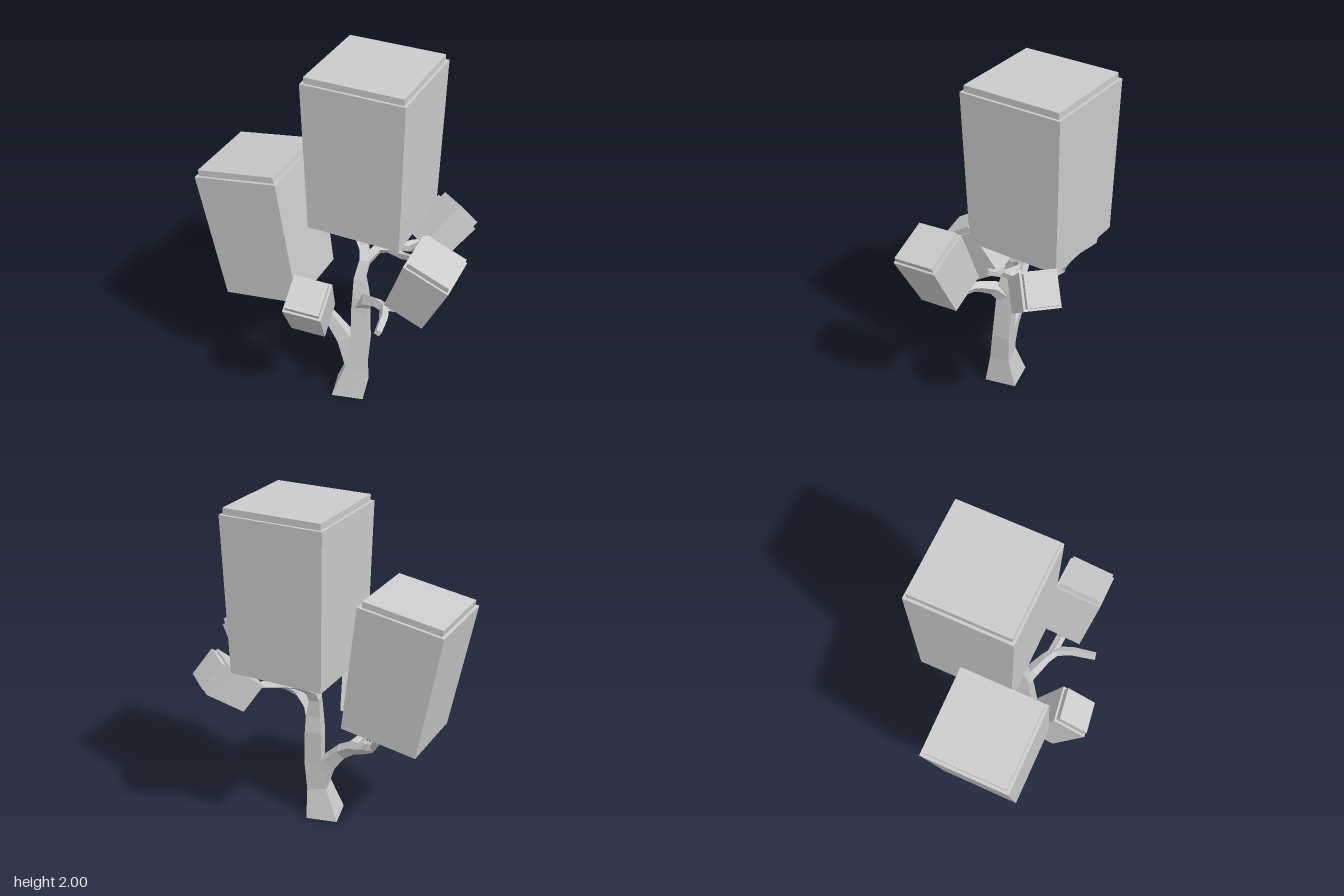
import * as THREE from 'three';

const V = (p) => new THREE.Vector3(p[0], p[1], p[2]);
const material = new THREE.MeshStandardMaterial({ color: 0xcccccc, flatShading: true });

// Four-sided limb lofted along points [x, y, z, halfWidth]
function limb(name, points) {
  const pts = points.map(V), n = pts.length;
  let u = new THREE.Vector3(0.97, 0, -0.24);
  const rings = pts.map((p, i) => {
    const t = pts[Math.min(i + 1, n - 1)].clone().sub(pts[Math.max(i - 1, 0)]).normalize();
    if (p.y === 0) t.set(0, 1, 0); // level foot
    u = u.clone().addScaledVector(t, -u.dot(t));
    if (u.length() < 0.1) u.set(0, 0, 1).addScaledVector(t, -t.z);
    u.normalize();
    const v = t.clone().cross(u), r = points[i][3];
    return [[1, 1], [-1, 1], [-1, -1], [1, -1]].map(([a, b]) =>
      p.clone().addScaledVector(u, a * r).addScaledVector(v, b * r));
  });
  const out = [];
  const quad = (a, b, c, d) => [a, b, c, a, c, d].forEach((q) => out.push(q.x, q.y, q.z));
  for (let i = 0; i < n - 1; i++) {
    for (let k = 0; k < 4; k++) {
      const m = (k + 1) % 4;
      quad(rings[i][k], rings[i][m], rings[i + 1][m], rings[i + 1][k]);
    }
  }
  quad(...rings[n - 1]);
  quad(...rings[0].slice().reverse());
  const geo = new THREE.BufferGeometry();
  geo.setAttribute('position', new THREE.Float32BufferAttribute(out, 3));
  geo.computeVertexNormals();
  const mesh = new THREE.Mesh(geo, material);
  mesh.name = name;
  return mesh;
}

// Tapered foliage block between two face centres, with a thin inset slab on top
function foliage(name, bottom, top, xHint, wBottom, wTop, wCap, capHeight) {
  const group = new THREE.Group();
  group.name = name;
  const b = V(bottom), axis = V(top).sub(b), h = axis.length();
  axis.normalize();
  const x = V(xHint).addScaledVector(axis, -V(xHint).dot(axis)).normalize();
  group.quaternion.setFromRotationMatrix(
    new THREE.Matrix4().makeBasis(x, axis, x.clone().cross(axis)));
  group.position.copy(b);

  const geo = new THREE.BoxGeometry(1, h, 1).translate(0, h / 2, 0);
  const pos = geo.attributes.position;
  for (let i = 0; i < pos.count; i++) {
    const w = pos.getY(i) > h / 2 ? wTop : wBottom;
    pos.setX(i, pos.getX(i) * w);
    pos.setZ(i, pos.getZ(i) * w);
  }
  geo.computeVertexNormals();
  const body = new THREE.Mesh(geo, material);
  body.name = name + 'Body';
  const cap = new THREE.Mesh(new THREE.BoxGeometry(wCap, capHeight, wCap), material);
  cap.name = name + 'Cap';
  cap.position.y = h + capHeight / 2;
  group.add(body, cap);
  return group;
}

export function createModel() {
  const model = new THREE.Group();
  model.name = 'tree';

  // Trunk and limbs
  const limbs = {
    trunk: [[0.068, 0, 0.098, 0.093], [0.105, 0.19, 0.09, 0.058], [0.122, 0.36, 0.072, 0.05],
      [0.112, 0.58, 0.055, 0.048], [0.112, 0.68, 0.055, 0.042], [0.1, 0.79, 0.04, 0.031],
      [0.11, 0.88, 0, 0.028], [0.08, 0.94, -0.06, 0.024], [0.075, 1.03, -0.09, 0.019],
      [0.075, 1.13, -0.09, 0.018]],
    crownLeftBranch: [[0.09, 0.9, -0.04, 0.022], [0.02, 0.95, -0.11, 0.022],
      [-0.03, 1.01, -0.13, 0.018], [-0.08, 1.12, -0.13, 0.016]],
    lowerLeftBranch: [[0.09, 0.22, 0.09, 0.05], [0.03, 0.37, 0.085, 0.042],
      [-0.05, 0.46, 0.08, 0.032], [-0.13, 0.515, 0.06, 0.028], [-0.22, 0.56, 0, 0.021],
      [-0.3, 0.61, -0.05, 0.018], [-0.37, 0.71, -0.1, 0.016]],
    lowerLeftFork: [[-0.22, 0.56, 0, 0.018], [-0.31, 0.62, 0.04, 0.017], [-0.36, 0.73, 0.07, 0.016]],
    lowerLeftTwig: [[-0.25, 0.58, -0.02, 0.016], [-0.29, 0.62, -0.07, 0.016], [-0.28, 0.66, -0.08, 0.015]],
    frontFork: [[-0.11, 0.5, 0.07, 0.025], [-0.14, 0.53, 0.17, 0.021], [-0.1, 0.64, 0.26, 0.018]],
    rightBranch: [[0.115, 0.62, 0.055, 0.038], [0.17, 0.69, 0.1, 0.028], [0.25, 0.73, 0.14, 0.022],
      [0.31, 0.74, 0.18, 0.02], [0.345, 0.75, 0.27, 0.018], [0.37, 0.755, 0.4, 0.016]],
    rightFork: [[0.28, 0.735, 0.16, 0.02], [0.4, 0.76, 0.17, 0.019], [0.46, 0.87, 0.18, 0.017]],
    backBranch: [[0.1, 0.86, 0, 0.025], [0.15, 0.92, -0.09, 0.023], [0.25, 0.92, -0.14, 0.019],
      [0.31, 0.93, -0.2, 0.017], [0.39, 0.92, -0.27, 0.016]],
    backTwig: [[0.24, 0.92, -0.14, 0.017], [0.33, 0.95, -0.12, 0.015], [0.41, 1.02, -0.12, 0.013]],
    backShortTwig: [[0.2, 0.92, -0.11, 0.016], [0.31, 0.93, -0.07, 0.015], [0.39, 0.97, -0.02, 0.013]],
  };
  for (const [name, points] of Object.entries(limbs)) model.add(limb(name, points));

  // Foliage blocks
  model.add(
    foliage('crownFoliage', [0.087, 1.09, -0.155], [0.087, 1.965, -0.155], [1, 0, 0], 0.54, 0.58, 0.55, 0.035),
    foliage('leftFoliage', [-0.367, 0.695, 0.107], [-0.487, 1.437, 0.105], [0.987, 0.158, 0], 0.452, 0.493, 0.458, 0.035),
    foliage('frontFoliage', [-0.077, 0.62, 0.275], [-0.03, 0.875, 0.43], [0.98, -0.1, -0.16], 0.195, 0.215, 0.19, 0.035),
    foliage('rightFoliage', [0.465, 0.83, 0.175], [0.6, 1.145, 0.207], [0.88, -0.47, -0.04], 0.235, 0.268, 0.245, 0.03),
    foliage('backFoliage', [0.365, 0.9, -0.25], [0.485, 1.065, -0.415], [0.7, 0, 0.7], 0.18, 0.2, 0.175, 0.035),
  );
  return model;
}
